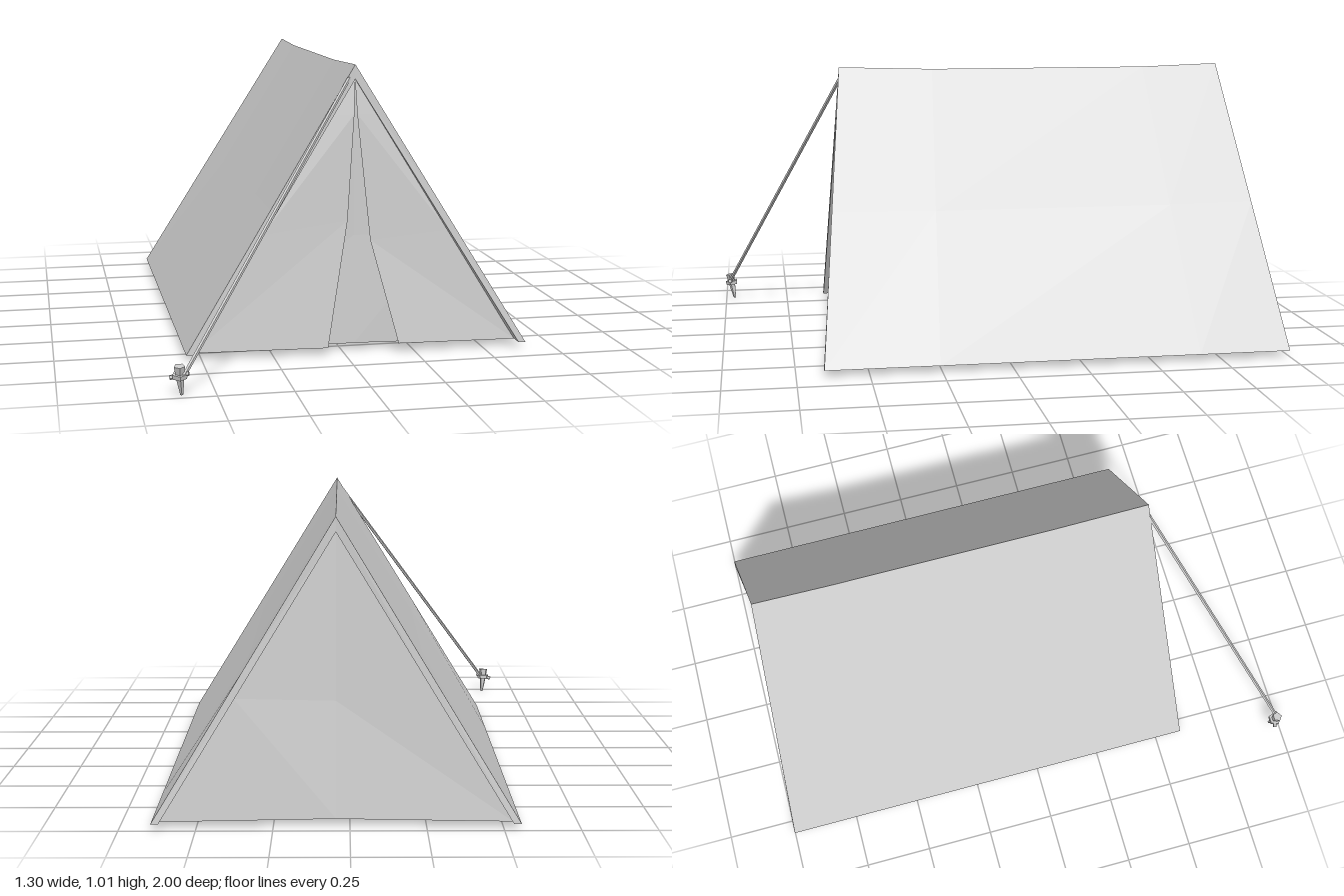
import * as THREE from 'three';

const material = new THREE.MeshStandardMaterial({ color: 0xcccccc, flatShading: true, side: THREE.DoubleSide });
const CX = 0.045; // x of the ridge
const BASE = 0.025; // y of the cloth hem

// Faceted cloth surface through rows of [x, y, z] points
function sheet(name, rows) {
  const cols = rows[0].length, index = [];
  for (let r = 0; r < rows.length - 1; r++) {
    for (let c = 0; c < cols - 1; c++) {
      const a = r * cols + c, b = a + cols;
      index.push(a, b, a + 1, a + 1, b, b + 1);
    }
  }
  const geometry = new THREE.BufferGeometry();
  geometry.setAttribute('position', new THREE.Float32BufferAttribute(rows.flat(2), 3));
  geometry.setIndex(index);
  const flat = geometry.toNonIndexed();
  flat.computeVertexNormals();
  const mesh = new THREE.Mesh(flat, material);
  mesh.name = name;
  return mesh;
}

// Cylinder running between two points
function rod(name, from, to, r0, r1, sides) {
  const a = new THREE.Vector3(...from), b = new THREE.Vector3(...to);
  const d = b.clone().sub(a);
  const mesh = new THREE.Mesh(new THREE.CylinderGeometry(r1, r0, d.length(), sides), material);
  mesh.position.copy(a).addScaledVector(d, 0.5);
  mesh.quaternion.setFromUnitVectors(new THREE.Vector3(0, 1, 0), d.normalize());
  mesh.name = name;
  return mesh;
}

// Line across the roof at t (0 front, 1 back): hem, middle, ridge, middle, hem
function roofLine(t, top, half) {
  const sag = t > 0 && t < 1 ? 0.01 : 0;
  return [-1, -0.5, 0, 0.5, 1].map((s) => {
    const u = Math.abs(s);
    const front = 0.555 + u * (s > 0 ? 0.1 : 0.045);
    const back = -0.89 - 0.11 * u;
    const x = CX + s * half - (u === 0.5 ? Math.sign(s) * sag * 0.4 : 0);
    return [x, top + (BASE - top) * u - sag * (1 - u), front + (back - front) * t];
  });
}

function createRoof() {
  const roof = new THREE.Group();
  roof.name = 'roof';
  const stations = [0, 0.24, 0.8, 1];
  const outer = stations.map((t) => roofLine(t, 1.01, 0.6));
  const inner = stations.map((t) => roofLine(t, 0.96, 0.575));
  roof.add(sheet('outerCloth', outer), sheet('innerCloth', inner));
  roof.add(sheet('frontRim', [outer[0], inner[0]]), sheet('backRim', [outer[3], inner[3]]));
  for (const i of [0, 4]) {
    roof.add(sheet('hem', [outer.map((l) => l[i]), inner.map((l) => l[i])]));
  }
  return roof;
}

// End wall, creased down the middle and slightly sunk into the tent
function endWall(name, zTop, zMid, zLow, zRight, zLeft) {
  return sheet(name, [
    [[CX, 0.96, zTop], [CX, 0.96, zTop], [CX, 0.96, zTop]],
    [[CX - 0.33, 0.424, (zTop + zRight * 1.3) / 2.3], [CX, 0.41, zMid], [CX + 0.33, 0.424, (zTop + zLeft * 1.3) / 2.3]],
    [[CX - 0.575, BASE, zRight], [CX, BASE, zLow], [CX + 0.575, BASE, zLeft]],
  ]);
}

// Door flap between the roof edge and the loose door edge
function flap(name, s, zHem, edge) {
  const outer = [0, 0.13, 0.57, 1].map((u) => [CX + s * 0.575 * u, 0.96 + (BASE - 0.96) * u, 0.55 + (zHem - 0.55) * u]);
  return sheet(name, [outer, [[CX, 0.96, 0.55], ...edge]]);
}

function createPeg() {
  const peg = new THREE.Group();
  peg.name = 'peg';
  peg.add(rod('spike', [-0.61, 0.003, 0.966], [-0.617, 0.075, 0.978], 0.005, 0.016, 5));
  peg.add(rod('collar', [-0.617, 0.06, 0.975], [-0.617, 0.075, 0.977], 0.024, 0.026, 5));
  peg.add(rod('head', [-0.617, 0.072, 0.977], [-0.618, 0.102, 0.982], 0.014, 0.019, 5));
  peg.add(rod('hook', [-0.648, 0.062, 0.968], [-0.588, 0.078, 0.985], 0.008, 0.008, 5));
  return peg;
}

export function createModel() {
  const tent = new THREE.Group();
  tent.name = 'tent';
  tent.add(createRoof());
  tent.add(endWall('backWall', -0.87, -0.9, -0.945, -0.975, -0.975));
  tent.add(endWall('frontWall', 0.535, 0.535, 0.55, 0.56, 0.585));
  tent.add(flap('rightFlap', -1, 0.575, [[0.04, 0.84, 0.565], [0.015, 0.47, 0.575], [-0.06, 0.028, 0.61]]));
  tent.add(flap('leftFlap', 1, 0.605, [[0.05, 0.84, 0.565], [0.095, 0.4, 0.58], [0.19, 0.035, 0.622]]));
  tent.add(rod('guyRope', [-0.603, 0.073, 0.985], [0.025, 0.965, 0.552], 0.007, 0.007, 5));
  tent.add(createPeg());
  return tent;
}
